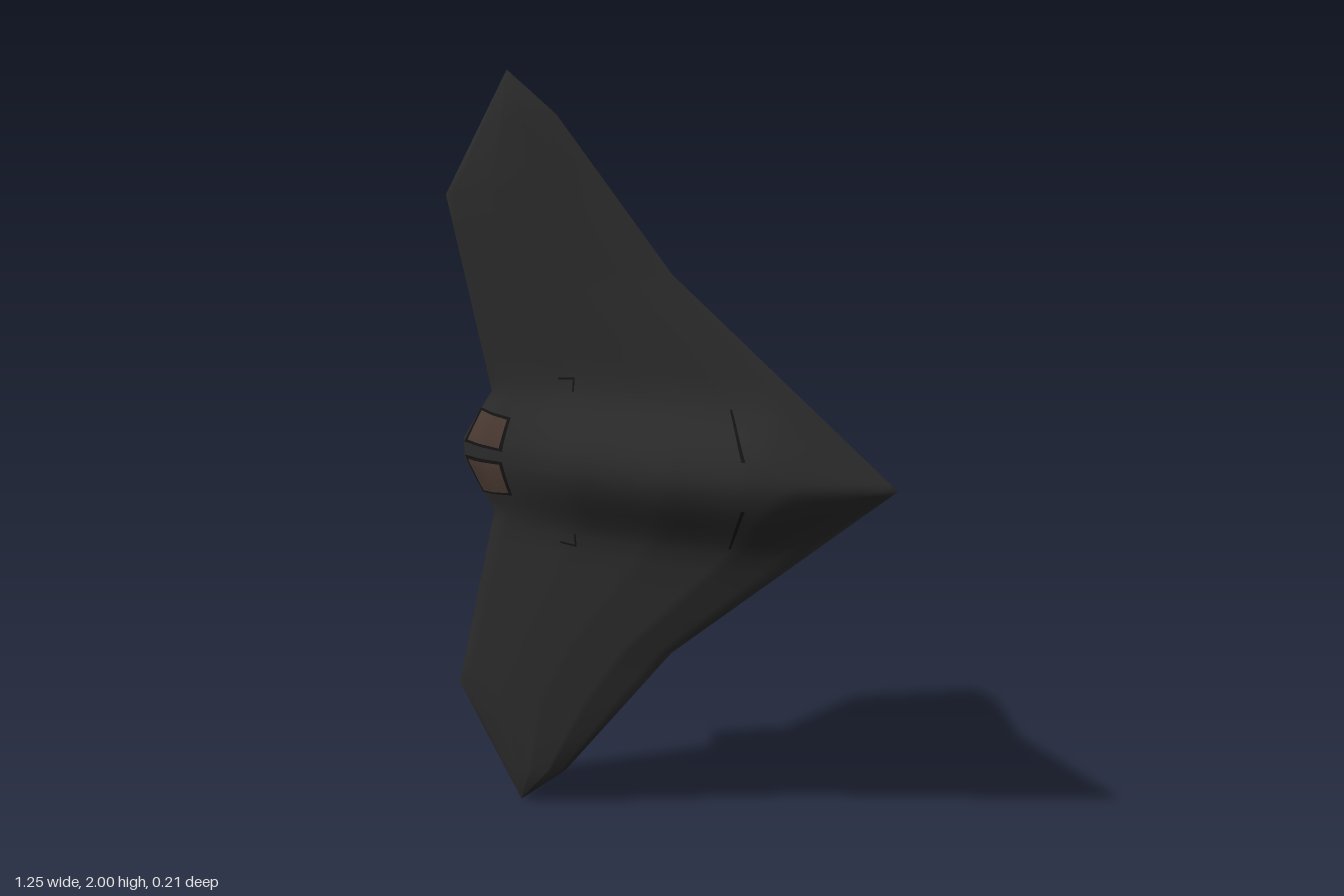
import * as THREE from 'three';

const mat = (name, color, side = THREE.FrontSide) => {
  const m = new THREE.MeshStandardMaterial({ color, side });
  m.name = name;
  return m;
};

// linear interpolation through [key, value] pairs with ascending keys
function lerpTable(table, k) {
  if (k <= table[0][0]) return table[0][1];
  for (let i = 1; i < table.length; i++) {
    const [k0, v0] = table[i - 1], [k1, v1] = table[i];
    if (k <= k1) return v0 + (v1 - v0) * (k - k0) / (k1 - k0);
  }
  return table[table.length - 1][1];
}

// planform: x of the leading and trailing edge by distance from the centreline
const LEAD = [[0, 0.62], [0.5, 0.02], [0.89, -0.3], [1, -0.44]];
const TRAIL = [[0, -0.595], [0.03, -0.595], [0.165, -0.505], [0.68, -0.63], [1, -0.44]];
// thickness by span, and its chordwise distribution, for both skins
const UP_SPAN = [[0, 0.05], [0.25, 0.048], [0.5, 0.04], [0.92, 0.028], [1, 0]];
const UP_CHORD = [[0, 0], [0.04, 0.25], [0.2, 0.8], [0.45, 1], [0.7, 0.8], [0.96, 0.25], [1, 0]];
const LOW_SPAN = [[0, 0.074], [0.05, 0.072], [0.1, 0.065], [0.25, 0.028], [0.5, 0.013], [0.9, 0.008], [1, 0]];
const LOW_CHORD = [[0, 0], [0.04, 0.27], [0.31, 0.88], [0.49, 1], [0.86, 0.28], [0.97, 0.14], [1, 0]];
// height of the central body above the wing
const HUMP = [[-0.595, 0], [-0.55, 0.015], [-0.2, 0.08], [0.07, 0.091], [0.27, 0.083], [0.37, 0.065], [0.57, 0.008], [0.62, 0]];
const EDGE_Z = -0.035;

function upperZ(x, y) {
  const s = Math.abs(y - 1);
  const lead = lerpTable(LEAD, s), chord = lead - lerpTable(TRAIL, s);
  const t = chord > 1e-6 ? (lead - x) / chord : 0;
  const width = Math.max(1e-4, Math.min(0.24, (0.62 - x) * 0.8));
  const across = s < width ? Math.cos(Math.PI / 2 * s / width) ** 2 : 0;
  const fade = Math.max(0, Math.min(1, (1 - t) / 0.06));
  return EDGE_Z + lerpTable(UP_SPAN, s) * lerpTable(UP_CHORD, t) + lerpTable(HUMP, x) * across * fade;
}

function lowerZ(x, y) {
  const s = Math.abs(y - 1);
  const lead = lerpTable(LEAD, s), chord = lead - lerpTable(TRAIL, s);
  const t = chord > 1e-6 ? (lead - x) / chord : 0;
  return EDGE_Z - lerpTable(LOW_SPAN, s) * lerpTable(LOW_CHORD, t);
}

// indexed surface from rows x columns of points
function gridGeometry(rows, cols, point, flip = false) {
  const pos = [], idx = [];
  for (let i = 0; i < rows; i++) for (let j = 0; j < cols; j++) pos.push(...point(i, j));
  for (let i = 0; i < rows - 1; i++) for (let j = 0; j < cols - 1; j++) {
    const a = i * cols + j, b = a + 1, c = a + cols, d = c + 1;
    if (flip) idx.push(a, b, c, b, d, c);
    else idx.push(a, c, b, b, c, d);
  }
  const g = new THREE.BufferGeometry();
  g.setAttribute('position', new THREE.Float32BufferAttribute(pos, 3));
  g.setIndex(idx);
  g.computeVertexNormals();
  return g;
}

// one skin of the flying wing, lofted tip to tip
function skin(heightAt, flip) {
  const half = [0.015, 0.03, 0.05, 0.07, 0.09, 0.11, 0.135, 0.165, 0.2, 0.25, 0.32, 0.41, 0.5, 0.59, 0.68, 0.78, 0.89, 0.95, 1];
  const spans = [...half.map(s => -s).reverse(), 0, ...half];
  const N = 50;
  return gridGeometry(spans.length, N + 1, (i, j) => {
    const s = Math.abs(spans[i]), t = j / N;
    const lead = lerpTable(LEAD, s), trail = lerpTable(TRAIL, s);
    const x = lead + (trail - lead) * t, y = 1 + spans[i];
    return [x, y, j === 0 || j === N ? EDGE_Z : heightAt(x, y)];
  }, flip);
}

// thin plate following the upper skin; corners are [x, span] in order around
function patch(corners, side, lift) {
  const [a, b, c, d] = corners, n = 8;
  const mix = (p, q, u) => p + (q - p) * u;
  return gridGeometry(n + 1, n + 1, (i, j) => {
    const u = i / n, v = j / n;
    const x = mix(mix(a[0], b[0], u), mix(d[0], c[0], u), v);
    const y = 1 + side * mix(mix(a[1], b[1], u), mix(d[1], c[1], u), v);
    return [x, y, upperZ(x, y) + lift];
  });
}

export function createModel() {
  const group = new THREE.Group();
  const body = mat('charcoal skin', 0x2b2b2b);
  const dark = mat('dark trim', 0x141414, THREE.DoubleSide);
  const brown = mat('heat shield brown', 0x4b3a32, THREE.DoubleSide);
  const add = (name, geometry, material) => {
    const m = new THREE.Mesh(geometry, material);
    m.name = name;
    group.add(m);
  };

  add('upperSkin', skin(upperZ, false), body);
  add('lowerSkin', skin(lowerZ, true), body);

  for (const side of [1, -1]) {
    const tag = side > 0 ? 'upperWing' : 'lowerWing';
    // exhaust panel with dark frame
    add(tag + 'ExhaustFrame', patch([[-0.592, 0.018], [-0.538, 0.117], [-0.424, 0.106], [-0.446, 0.014]], side, 0.003), dark);
    add(tag + 'ExhaustPanel', patch([[-0.577, 0.027], [-0.532, 0.111], [-0.434, 0.1], [-0.455, 0.022]], side, 0.006), brown);
    // engine intake lip
    add(tag + 'IntakeLip', patch([[0.2, 0.18], [0.206, 0.18], [0.266, 0.062], [0.256, 0.062]], side, 0.003), dark);
    // small bracket-shaped vent on the wing root
    add(tag + 'VentSlit', patch([[-0.285, 0.223], [-0.235, 0.227], [-0.235, 0.222], [-0.285, 0.218]], side, 0.003), dark);
    add(tag + 'VentEdge', patch([[-0.24, 0.225], [-0.235, 0.225], [-0.235, 0.19], [-0.24, 0.19]], side, 0.003), dark);
  }
  return group;
}
